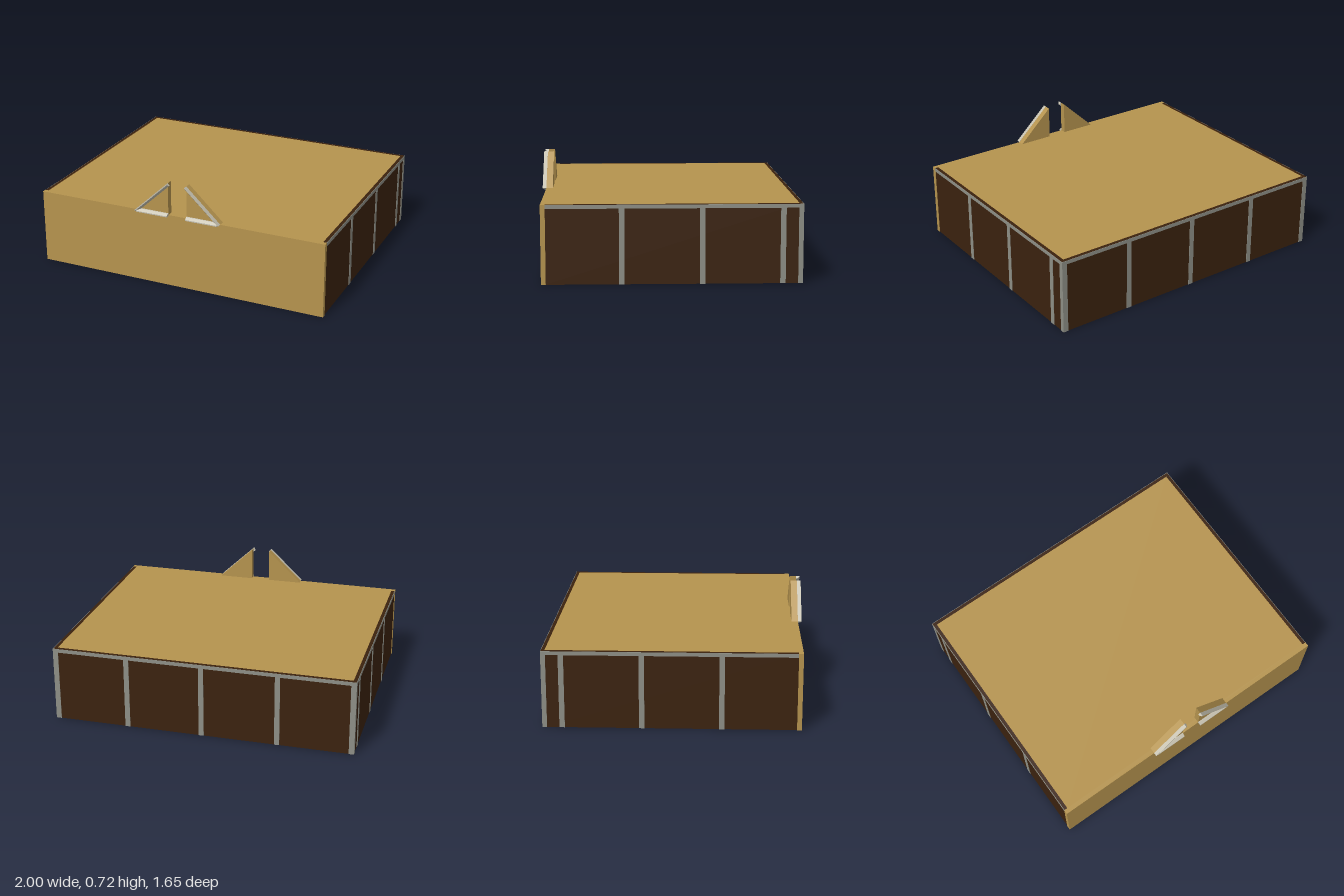
import * as THREE from 'three';

const material = (name, color) => {
  const m = new THREE.MeshStandardMaterial({ color });
  m.name = name;
  return m;
};

export function createModel() {
  const tan = material('tan stucco', 0xb5934e);
  const brown = material('dark brown panel', 0x3b220e);
  const grey = material('grey batten', 0x8e8f86);
  const pale = material('pale trim', 0xc4bfae);
  const model = new THREE.Group();
  model.name = 'shell';

  // Box given by its low and high corners
  const box = (name, mat, lo, hi) => {
    const size = hi.map((h, i) => h - lo[i]);
    const mesh = new THREE.Mesh(new THREE.BoxGeometry(...size), mat);
    mesh.position.set(...hi.map((h, i) => (h + lo[i]) / 2));
    mesh.name = name;
    model.add(mesh);
  };

  const H = 0.5, T = 0.025, back = -0.825, strip = 0.034, out = 0.003;

  // Hollow shell, open underneath
  box('frontWall', tan, [-1, 0, 0.77], [1, H, 0.8]);
  box('roofPanel', tan, [-1 + T, H - T, back + T], [1 - T, H, 0.77]);
  box('backWall', brown, [-1 + out, 0, back + out], [1 - out, H, back + T]);
  for (const s of [-1, 1]) {
    const a = s * (1 - T), b = s * (1 - out);
    box('sideWall', brown, [Math.min(a, b), 0, back + T], [Math.max(a, b), H, 0.77]);

    // Side battens: three posts, a back corner post and a top rail
    const x0 = Math.min(b, s), x1 = Math.max(b, s);
    for (const z of [0.3, -0.2, -0.7])
      box('sidePost', grey, [x0, 0, z - strip / 2], [x1, H - T, z + strip / 2]);
    box('sideCornerPost', grey, [x0, 0, back], [x1, H - T, back + 0.03]);
    box('sideRail', grey, [x0, H - T, back], [x1, H - 0.001, 0.77]);
  }

  // Back battens: evenly spaced posts under a top rail
  for (const x of [-0.982, -0.5, 0, 0.5, 0.982])
    box('backPost', grey, [x - strip / 2, 0, back], [x + strip / 2, H - T, back + out]);
  box('backRail', grey, [-1 + out, H - T, back], [1 - out, H - 0.001, back + out]);

  // Moulding with a chamfered profile, thickest towards the normal (nx, ny)
  const profile = new THREE.Shape([
    [-0.01, 0], [0.01, 0], [0.01, 0.025], [0.003, 0.025], [-0.01, 0.008],
  ].map(p => new THREE.Vector2(...p)));
  const moulding = (name, length, nx, ny, x, y) => {
    const geo = new THREE.ExtrudeGeometry(profile, { depth: length, bevelEnabled: false });
    geo.translate(0, 0, -length / 2);
    const n = new THREE.Vector3(nx, ny, 0).normalize();
    const z = new THREE.Vector3(0, 0, 1);
    geo.applyMatrix4(new THREE.Matrix4().makeBasis(n, z, n.clone().cross(z)));
    const mesh = new THREE.Mesh(geo, pale);
    mesh.position.set(x, y, 0.8);
    mesh.name = name;
    return mesh;
  };

  // Two halves of a broken pediment above the front wall
  for (const s of [-1, 1]) {
    const half = new THREE.Group();
    half.name = s > 0 ? 'leftPediment' : 'rightPediment';
    const shape = new THREE.Shape([
      new THREE.Vector2(s * 0.065, H), new THREE.Vector2(s * 0.298, H),
      new THREE.Vector2(s * 0.065, 0.72),
    ]);
    const geo = new THREE.ExtrudeGeometry(shape, { depth: 0.042, bevelEnabled: false });
    geo.translate(0, 0, 0.758);
    const body = new THREE.Mesh(geo, tan);
    body.name = 'pedimentBody';
    half.add(body);
    half.add(moulding('rakingTrim', 0.32, s * 0.22, 0.235, s * 0.175, 0.604));
    half.add(moulding('baseTrim', 0.22, 0, -1, s * 0.175, 0.503));
    model.add(half);
  }
  return model;
}
